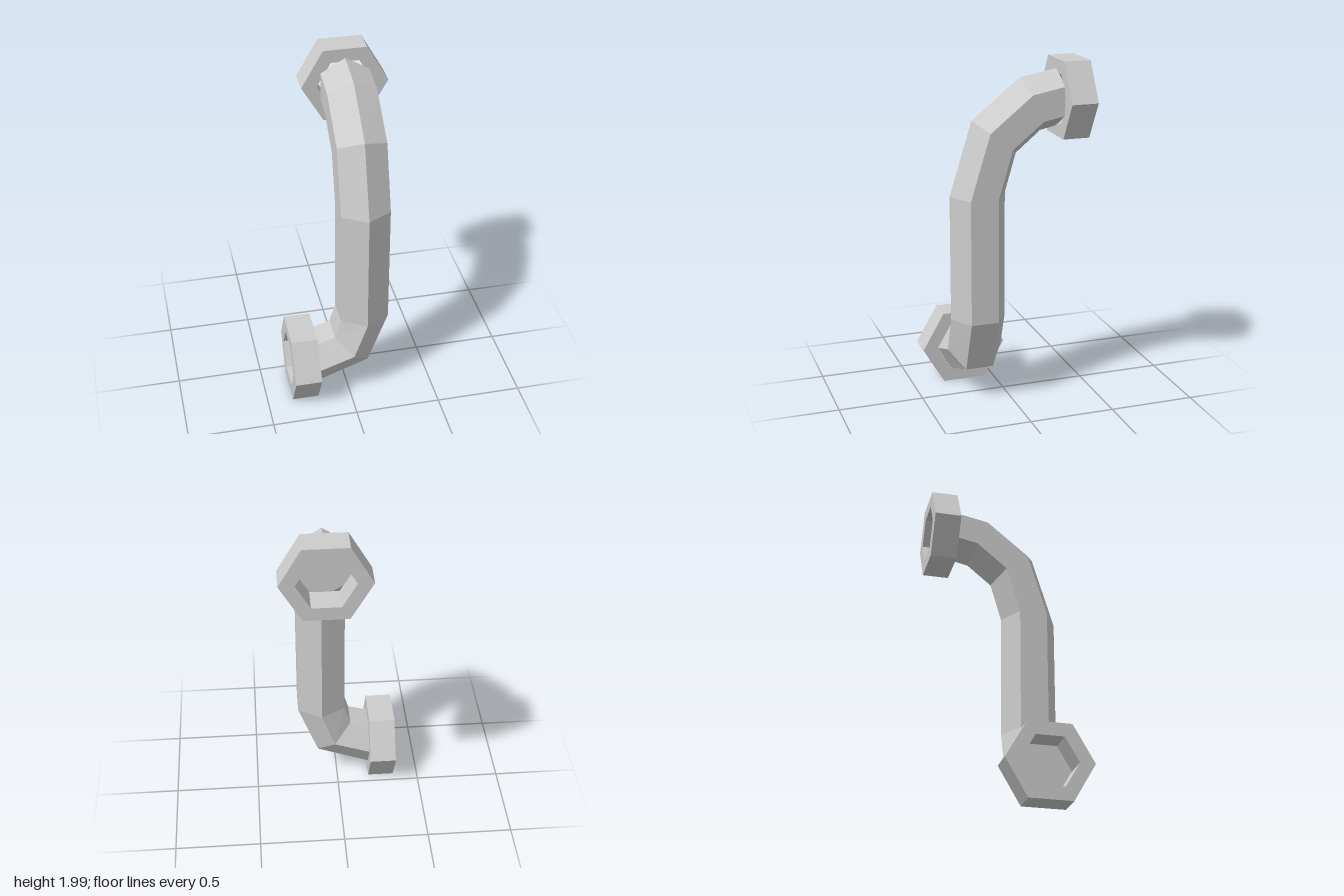
import * as THREE from 'three';

const metal = new THREE.MeshStandardMaterial({ color: 0xcccccc, flatShading: true });
metal.name = 'grey metal';

const R = 0.163, SIDES = 6;
const V = (x, y, z) => new THREE.Vector3(x, y, z);

// Hexagonal cross-section: centre plus two half-axes
function ring(centre, u, v) {
  return Array.from({ length: SIDES }, (_, i) => {
    const a = (i / SIDES) * Math.PI * 2;
    return centre.clone().addScaledVector(u, Math.cos(a)).addScaledVector(v, Math.sin(a));
  });
}

// Section of the upper bend, from its outer and inner corner (z, y)
function bendRing(zOut, yOut, zIn, yIn) {
  return ring(
    V(0.095, (yOut + yIn) / 2, (zOut + zIn) / 2),
    V(0, (yOut - yIn) / 2, (zOut - zIn) / 2),
    V(R, 0, 0)
  );
}

// Closed skin through the cross-sections, capped at both ends
function loft(rings) {
  const pos = [], index = [];
  rings.flat().forEach((p) => pos.push(p.x, p.y, p.z));
  for (let i = 0; i < rings.length - 1; i++) {
    for (let j = 0; j < SIDES; j++) {
      const k = (j + 1) % SIDES;
      const a = i * SIDES + j, b = i * SIDES + k;
      index.push(a, b, b + SIDES, a, b + SIDES, a + SIDES);
    }
  }
  const last = (rings.length - 1) * SIDES;
  for (let j = 1; j < SIDES - 1; j++) {
    index.push(0, j + 1, j, last, last + j, last + j + 1);
  }
  const geo = new THREE.BufferGeometry();
  geo.setAttribute('position', new THREE.Float32BufferAttribute(pos, 3));
  geo.setIndex(index);
  const flat = geo.toNonIndexed();
  flat.computeVertexNormals();
  return flat;
}

// Hexagonal collar with a hexagonal hole, extruded along +z
function nut(name) {
  const hex = (r) => Array.from({ length: SIDES }, (_, i) => {
    const a = (i / SIDES) * Math.PI * 2;
    return new THREE.Vector2(r * Math.cos(a), r * Math.sin(a));
  });
  const shape = new THREE.Shape(hex(0.252));
  shape.holes.push(new THREE.Path(hex(R)));
  const mesh = new THREE.Mesh(
    new THREE.ExtrudeGeometry(shape, { depth: 0.155, bevelEnabled: false }), metal);
  mesh.name = name;
  return mesh;
}

export function createModel() {
  const group = new THREE.Group();
  group.name = 'bentPipe';

  // Pipe: side outlet, elbow, upright, bend to the back
  const uz = V(0, 0, R);
  const pipe = new THREE.Mesh(loft([
    ring(V(-0.2, 0.225, 0.183), uz, V(0, -R, 0)),
    ring(V(0.018, 0.302, 0.183), uz, V(0.116, -0.113, 0)),
    ring(V(0.095, 0.52, 0.183), uz, V(R, 0, 0)),
    ring(V(0.095, 1.25, 0.183), uz, V(R, 0, 0)),
    bendRing(0.215, 1.675, -0.045, 1.475),
    bendRing(-0.065, 1.9, -0.19, 1.595),
    bendRing(-0.285, 1.941, -0.285, 1.615),
  ]), metal);
  pipe.name = 'pipe';
  group.add(pipe);

  // End collars
  const upper = nut('upperCollar');
  upper.position.set(0.095, 1.778, -0.437);
  group.add(upper);

  const lower = nut('lowerCollar');
  lower.rotation.y = Math.PI / 2;
  lower.position.set(-0.35, 0.223, 0.183);
  group.add(lower);

  return group;
}
